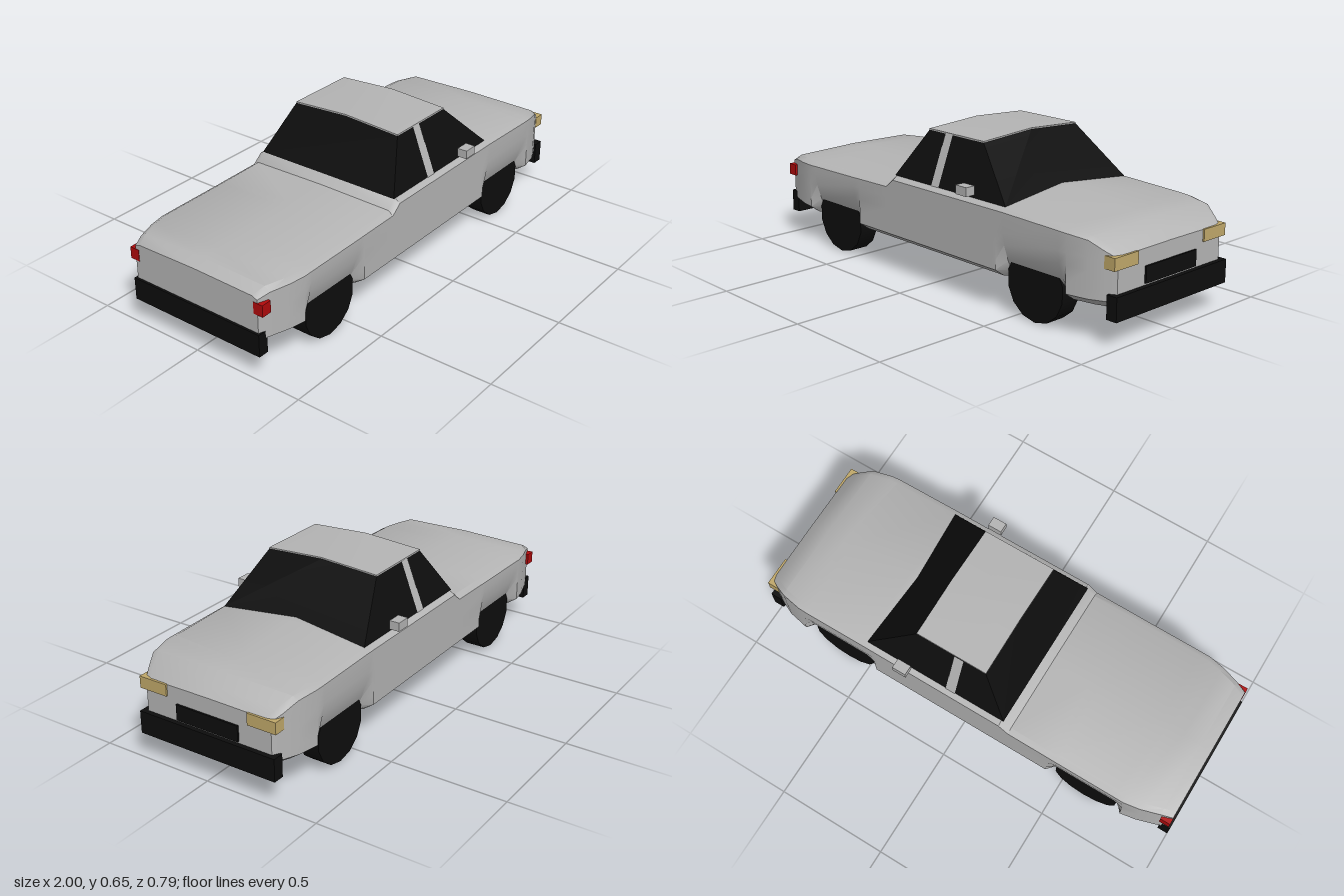
import * as THREE from 'three';
import { toCreasedNormals } from 'three/addons/utils/BufferGeometryUtils.js';

const mat = (name, color) => {
  const m = new THREE.MeshStandardMaterial({ color });
  m.name = name;
  return m;
};

// Geometry from convex polygons, each listed counter-clockwise from outside
function fromPolygons(polygons, crease = 0.5) {
  const pos = [];
  for (const p of polygons)
    for (let i = 1; i < p.length - 1; i++) pos.push(...p[0], ...p[i], ...p[i + 1]);
  const g = new THREE.BufferGeometry();
  g.setAttribute('position', new THREE.Float32BufferAttribute(pos, 3));
  g.computeVertexNormals();
  return toCreasedNormals(g, crease);
}

// One closed body section; arch = 1 tucks the lower side in behind a wheel
function bodyRing([x, w, shoulder, edge, crown, arch]) {
  const half = [
    [w - 0.045 - 0.03 * arch, 0.14],
    [w - 0.05 * arch, 0.172],
    [w - 0.03 * arch, 0.212],
    [w - 0.008 * arch, 0.28],
    [w, 0.33],
    [w, shoulder],
    [w - 0.025, edge],
  ];
  const left = half.map(([z, y]) => [x, y, z]);
  const right = half.map(([z, y]) => [x, y, -z]).reverse();
  return [[x, 0.14, 0], ...left, [x, crown, 0], ...right];
}

function bodyGeometry() {
  // x, half width, shoulder height, top edge height, centre height, wheel arch
  const rings = [
    [-0.99, 0.31, 0.345, 0.355, 0.36, 0],
    [-0.94, 0.328, 0.36, 0.377, 0.384, 0],
    [-0.86, 0.353, 0.364, 0.379, 0.386, 0],
    [-0.79, 0.365, 0.366, 0.381, 0.387, 0],
    [-0.75, 0.365, 0.367, 0.382, 0.388, 1],
    [-0.47, 0.365, 0.37, 0.385, 0.391, 1],
    [-0.43, 0.365, 0.371, 0.386, 0.392, 0],
    [-0.245, 0.365, 0.374, 0.39, 0.395, 0],
    [-0.2, 0.365, 0.41, 0.427, 0.43, 0],
    [0.4, 0.365, 0.411, 0.427, 0.45, 0],
    [0.42, 0.365, 0.411, 0.427, 0.455, 0],
    [0.46, 0.365, 0.411, 0.427, 0.455, 1],
    [0.75, 0.365, 0.405, 0.416, 0.424, 1],
    [0.79, 0.363, 0.403, 0.414, 0.42, 0],
    [0.88, 0.345, 0.394, 0.406, 0.411, 0],
    [0.94, 0.318, 0.36, 0.374, 0.378, 0],
    [0.98, 0.295, 0.338, 0.344, 0.346, 0],
  ].map(bodyRing);
  const n = rings[0].length;
  const faces = [rings[0], [...rings[rings.length - 1]].reverse()];
  for (let i = 0; i < rings.length - 1; i++)
    for (let j = 0; j < n; j++) {
      const k = (j + 1) % n;
      faces.push([rings[i][j], rings[i + 1][j], rings[i + 1][k], rings[i][k]]);
    }
  return fromPolygons(faces, 0.55);
}

export function createModel() {
  const model = new THREE.Group();
  model.name = 'car';
  const paint = mat('grey paint', 0xb4b4b4);
  const black = mat('black trim and glass', 0x0d0d0d);
  const amber = mat('headlight tan', 0xc0a86a);
  const red = mat('tail light red', 0xb00a0c);

  const add = (name, geometry, material) => {
    const mesh = new THREE.Mesh(geometry, material);
    mesh.name = name;
    model.add(mesh);
    return mesh;
  };
  // Box given by its lower and upper corners
  const box = (name, material, [x0, y0, z0], [x1, y1, z1]) =>
    add(name, new THREE.BoxGeometry(x1 - x0, y1 - y0, z1 - z0), material)
      .position.set((x0 + x1) / 2, (y0 + y1) / 2, (z0 + z1) / 2);

  add('body', bodyGeometry(), paint);

  // Greenhouse: sloping glass on all sides under a shallow ridged roof
  const flip = ([x, y, z]) => [x, y, -z];
  const mirror = (poly) => poly.map(flip).reverse();
  const A = [-0.21, 0.426, 0.342], B = [0.452, 0.426, 0.342];
  const C = [0.245, 0.628, 0.262], D = [-0.08, 0.628, 0.262];
  const ridgeFront = [0.245, 0.643, 0], ridgeRear = [-0.08, 0.643, 0];
  const side = [A, B, C, D];
  add('windows', fromPolygons([
    side, mirror(side),
    [B, flip(B), flip(C), ridgeFront, C],
    [flip(A), A, D, ridgeRear, flip(D)],
  ], 0.1), black);

  // Roof skin with a thin rim
  const up = ([x, y, z]) => [x, y + 0.006, z];
  const roofHalf = [up(D), up(C), up(ridgeFront), up(ridgeRear)];
  const rims = [
    [D, C, up(C), up(D)],
    [C, ridgeFront, up(ridgeFront), up(C)],
    [ridgeRear, D, up(D), up(ridgeRear)],
  ];
  add('roof', fromPolygons([roofHalf, ...rims].flatMap((p) => [p, mirror(p)]), 0.3), paint);

  // Door pillars lying on the side glass
  const pillar = [
    [0.022, 0.426, 0.345], [0.066, 0.426, 0.345],
    [0.066, 0.632, 0.265], [0.022, 0.632, 0.265],
  ];
  add('doorPillars', fromPolygons([pillar, mirror(pillar)], 0.1), paint);

  // Wheels
  const wheel = new THREE.CylinderGeometry(0.147, 0.147, 0.088, 14).rotateX(Math.PI / 2);
  for (const x of [-0.61, 0.605])
    for (const s of [-1, 1])
      add(x > 0 ? 'frontWheel' : 'rearWheel', wheel, black).position.set(x, 0.147, s * 0.291);

  // Bumpers and number plate
  box('frontBumper', black, [0.952, 0.106, -0.32], [1, 0.202, 0.32]);
  box('rearBumper', black, [-1, 0.106, -0.32], [-0.954, 0.202, 0.32]);
  box('frontPlate', black, [0.98, 0.21, -0.146], [0.988, 0.277, 0.146]);

  // Lamps and mirrors in pairs
  for (const s of [-1, 1]) {
    const pair = (name, material, x0, x1, y0, y1, z0, z1) =>
      box(name, material, [x0, y0, Math.min(s * z0, s * z1)], [x1, y1, Math.max(s * z0, s * z1)]);
    pair('headlight', amber, 0.937, 0.987, 0.296, 0.346, 0.191, 0.321);
    pair('tailLight', red, -0.992, -0.947, 0.282, 0.332, 0.292, 0.336);
    pair('mirror', paint, 0.227, 0.289, 0.443, 0.48, 0.352, 0.396);
  }
  return model;
}
